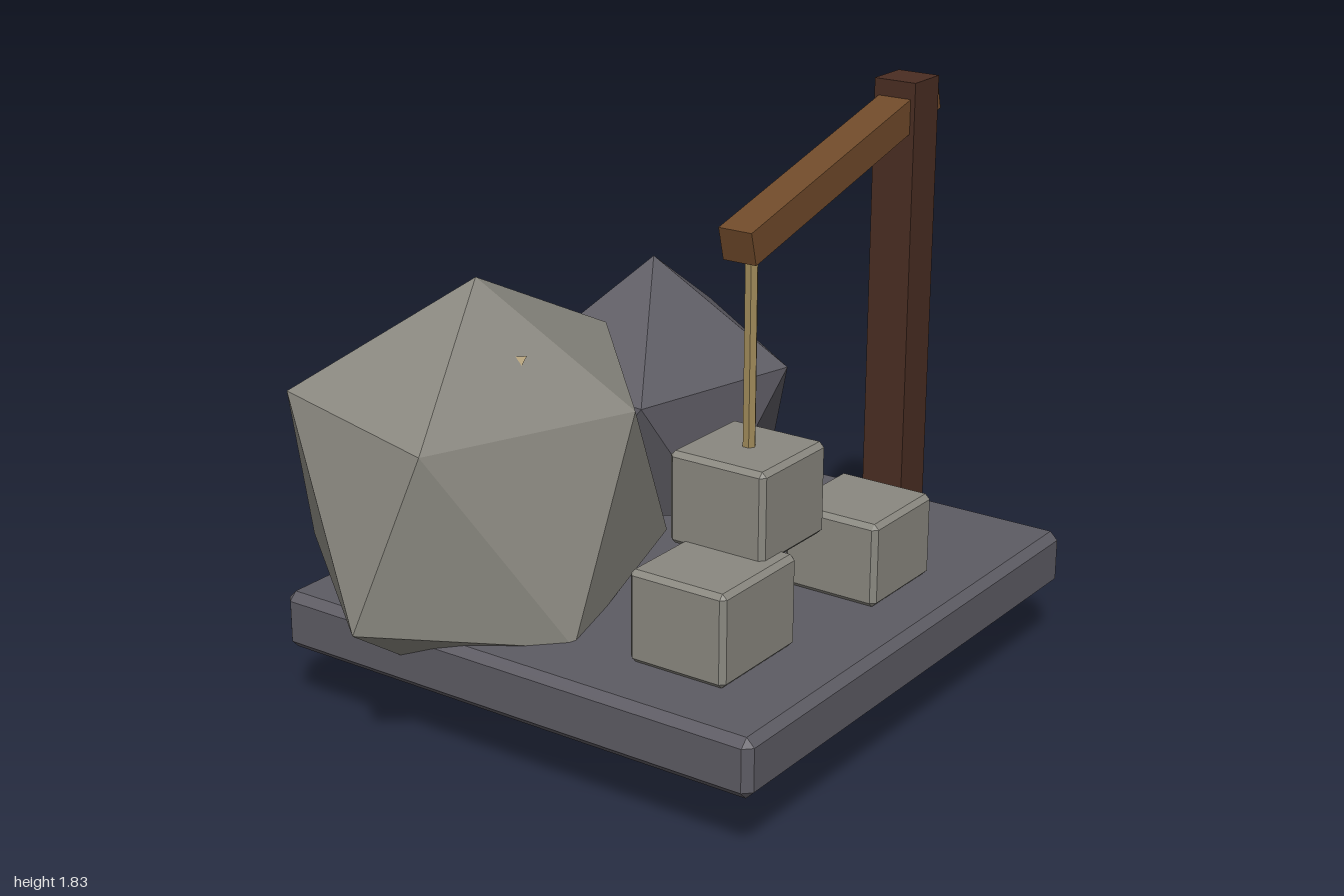
import * as THREE from 'three';
import { ConvexGeometry } from 'three/addons/geometries/ConvexGeometry.js';

const mat = (name, color) => {
  const m = new THREE.MeshStandardMaterial({ color, flatShading: true });
  m.name = name;
  return m;
};

// Box given by its limits, with every edge chamfered by c
function chamferBox([x0, x1], [y0, y1], [z0, z1], c) {
  const half = [(x1 - x0) / 2, (y1 - y0) / 2, (z1 - z0) / 2];
  const points = [];
  for (const sx of [-1, 1]) for (const sy of [-1, 1]) for (const sz of [-1, 1]) {
    for (let face = 0; face < 3; face++) {
      const [a, b, d] = half.map((h, i) => (i === face ? h : h - c));
      points.push(new THREE.Vector3(sx * a, sy * b, sz * d));
    }
  }
  return new ConvexGeometry(points).translate((x0 + x1) / 2, (y0 + y1) / 2, (z0 + z1) / 2);
}

// Twenty-faced boulder: two tips and two staggered rings of five corners
function boulder(top, upper, lower, bottom) {
  const pos = [];
  const tri = (...corners) => corners.forEach((p) => pos.push(...p));
  for (let i = 0; i < 5; i++) {
    const j = (i + 1) % 5;
    tri(top, upper[i], upper[j]);
    tri(upper[i], lower[i], upper[j]);
    tri(lower[i], lower[j], upper[j]);
    tri(bottom, lower[j], lower[i]);
  }
  const g = new THREE.BufferGeometry();
  g.setAttribute('position', new THREE.Float32BufferAttribute(pos, 3));
  g.computeVertexNormals();
  return g;
}

export function createModel() {
  const group = new THREE.Group();
  const paleStone = mat('pale stone', 0x8a8880);
  const darkStone = mat('dark stone', 0x5d5b63);
  const darkWood = mat('dark wood', 0x4a2d22);
  const wood = mat('wood', 0x704a2a);
  const ropeTan = mat('rope tan', 0xa08a5a);

  const add = (name, geometry, material, x = 0, y = 0, z = 0) => {
    const mesh = new THREE.Mesh(geometry, material);
    mesh.name = name;
    mesh.position.set(x, y, z);
    group.add(mesh);
    return mesh;
  };

  // Ground slab
  add('slab', chamferBox([-0.775, 0.995], [0.2, 0.38], [-0.78, 0.875], 0.025), darkStone);

  // Boulders at the back
  add('paleBoulder', boulder(
    [-0.37, 1.33, -0.35],
    [[-0.17, 0.95, 0.07], [0.28, 1.02, -0.37], [-0.14, 0.96, -0.78], [-0.77, 1.02, -0.73], [-0.88, 0.98, -0.14]],
    [[0.2, 0.42, -0.08], [0.19, 0.39, -0.55], [-0.53, 0.46, -0.88], [-1, 0.45, -0.3], [-0.55, 0.36, 0.13]],
    [-0.33, 0, -0.38]), paleStone);
  add('darkBoulder', boulder(
    [0.52, 1.18, -0.36],
    [[0.69, 0.84, 0.04], [0.97, 0.91, -0.45], [0.68, 0.86, -0.78], [0.12, 0.87, -0.61], [0.12, 0.83, -0.12]],
    [[0.9, 0.41, -0.16], [0.88, 0.41, -0.68], [0.34, 0.43, -0.81], [0.03, 0.42, -0.42], [0.37, 0.43, -0.03]],
    [0.52, 0.28, -0.4]), darkStone);

  // Small tip poking out of the pale boulder
  add('nugget', new THREE.TetrahedronGeometry(0.02), ropeTan, -0.405, 1.125, -0.16);

  // Cut blocks: two on the slab, one hanging
  add('leftBlock', chamferBox([-0.565, -0.2], [0.38, 0.66], [0.33, 0.65], 0.015), paleStone);
  add('rightBlock', chamferBox([0.135, 0.46], [0.38, 0.64], [0.39, 0.705], 0.015), paleStone);
  add('hangingBlock', chamferBox([-0.31, 0.015], [0.64, 0.92], [0.285, 0.605], 0.015), paleStone);

  // Crane: post, tilted beam and rope
  add('post', new THREE.BoxGeometry(0.137, 1.45, 0.137), darkWood, 0.672, 1.105, 0.447);
  add('beam', new THREE.BoxGeometry(1.02, 0.1, 0.108), wood, 0.277, 1.645, 0.447).rotation.z = 0.25;
  add('rope', new THREE.CylinderGeometry(0.02, 0.02, 0.6, 6), ropeTan, -0.145, 1.21, 0.447);

  return group;
}
